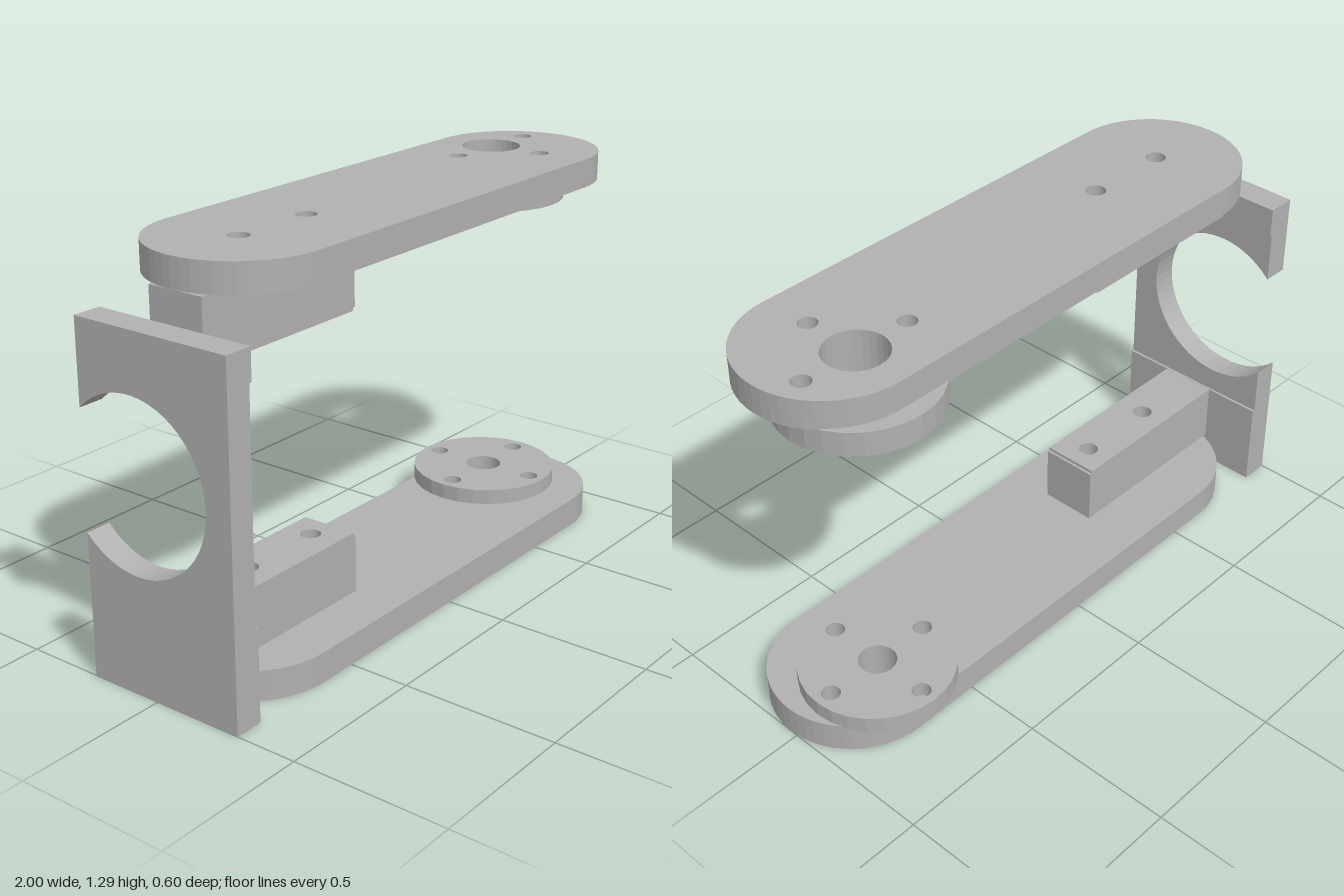
import * as THREE from 'three';

const metal = new THREE.MeshStandardMaterial({ color: 0xb0b0b0 });
metal.name = 'grey metal';

const PIVOT = [0.712, -0.057];
const BORE = 0.03;
// mounting holes around the pivot, and the two block screws, as [x, z]
const hornHoles = [[0.522, -0.057], [0.902, -0.057], [0.712, 0.133]];
const screwHoles = [[-0.645, 0.035], [-0.36, 0.035]];

function mesh(name, geometry) {
  const m = new THREE.Mesh(geometry, metal);
  m.name = name;
  return m;
}

function punch(shape, holes, r) {
  for (const [x, z] of holes) {
    shape.holes.push(new THREE.Path().absarc(x, -z, r, 0, Math.PI * 2, true));
  }
  return shape;
}

// extrude a plan-view shape (x, -z) from y0 to y1
function slab(name, shape, y0, y1) {
  const g = new THREE.ExtrudeGeometry(shape, { depth: y1 - y0, bevelEnabled: false, curveSegments: 14 });
  g.rotateX(-Math.PI / 2);
  g.translate(0, y0, 0);
  return mesh(name, g);
}

function armShape() {
  const r = 0.2735, s = new THREE.Shape();
  s.absarc(1 - r, -0.0275, r, -Math.PI / 2, Math.PI / 2, false);
  s.absarc(-0.904 + r, -0.0275, r, Math.PI / 2, Math.PI * 1.5, false);
  s.closePath();
  return s;
}

function discShape() {
  return new THREE.Shape().absarc(PIVOT[0], -PIVOT[1], 0.245, 0, Math.PI * 2, false);
}

function rectShape(x0, x1, z0, z1) {
  return new THREE.Shape([[x0, -z1], [x1, -z1], [x1, -z0], [x0, -z0]].map(p => new THREE.Vector2(...p)));
}

// arm, pivot disc and screw block; dir points from the arm inwards
function buildArm(name, y0, y1, discEnd, blockEnd, dir, pivotR, discHoles) {
  const group = new THREE.Group();
  group.name = name;
  const span = (n, shape, a, b) => group.add(slab(n, shape, Math.min(a, b), Math.max(a, b)));
  const inner = dir > 0 ? y1 : y0;

  const arm = punch(punch(armShape(), hornHoles, BORE), screwHoles, 0.032);
  span('armPlate', punch(arm, [PIVOT], pivotR), y0, y1);

  const disc = punch(discShape(), [PIVOT], pivotR);
  span('pivotDisc', punch(disc, discHoles, BORE), inner - dir * 0.004, discEnd);

  // block: solid base, drilled upper part and a slightly shorter lip
  const mid = (inner + blockEnd) / 2, lip = blockEnd - dir * 0.01;
  span('blockBase', rectShape(-0.905, -0.267, -0.055, 0.135), inner, mid);
  span('blockTop', punch(rectShape(-0.905, -0.267, -0.055, 0.135), screwHoles, 0.032), mid, lip);
  span('blockLip', punch(rectShape(-0.905, -0.276, -0.055, 0.135), screwHoles, 0.032), lip, blockEnd);
  return group;
}

// upright plate with a round cut-out open to the back
function buildUpright() {
  const group = new THREE.Group();
  group.name = 'uprightPlate';
  const s = new THREE.Shape();
  s.moveTo(-0.301, 0.294);
  s.lineTo(0.246, 0.294);
  s.absarc(0.055, 0.643, 0.268, -0.778, 0.778, true);
  s.lineTo(0.246, 0.998);
  s.lineTo(-0.301, 0.998);
  s.closePath();
  const g = new THREE.ExtrudeGeometry(s, { depth: 0.085, bevelEnabled: false, curveSegments: 20 });
  g.rotateY(Math.PI / 2);
  g.translate(-1, 0, 0);
  group.add(mesh('cutoutPlate', g));

  // thicker ends
  for (const [name, y0, y1] of [['lowerEnd', 0, 0.294], ['upperEnd', 0.998, 1.096]]) {
    const end = mesh(name, new THREE.BoxGeometry(0.094, y1 - y0, 0.547));
    end.position.set(-0.953, (y0 + y1) / 2, 0.0275);
    group.add(end);
  }
  return group;
}

export function createModel() {
  const model = new THREE.Group();
  model.name = 'bracket';
  model.add(
    buildUpright(),
    buildArm('lowerArm', 0, 0.096, 0.147, 0.294, 1, 0.06, [...hornHoles, [0.712, -0.247]]),
    buildArm('upperArm', 1.195, 1.287, 1.122, 0.998, -1, 0.097, [])
  );
  return model;
}
